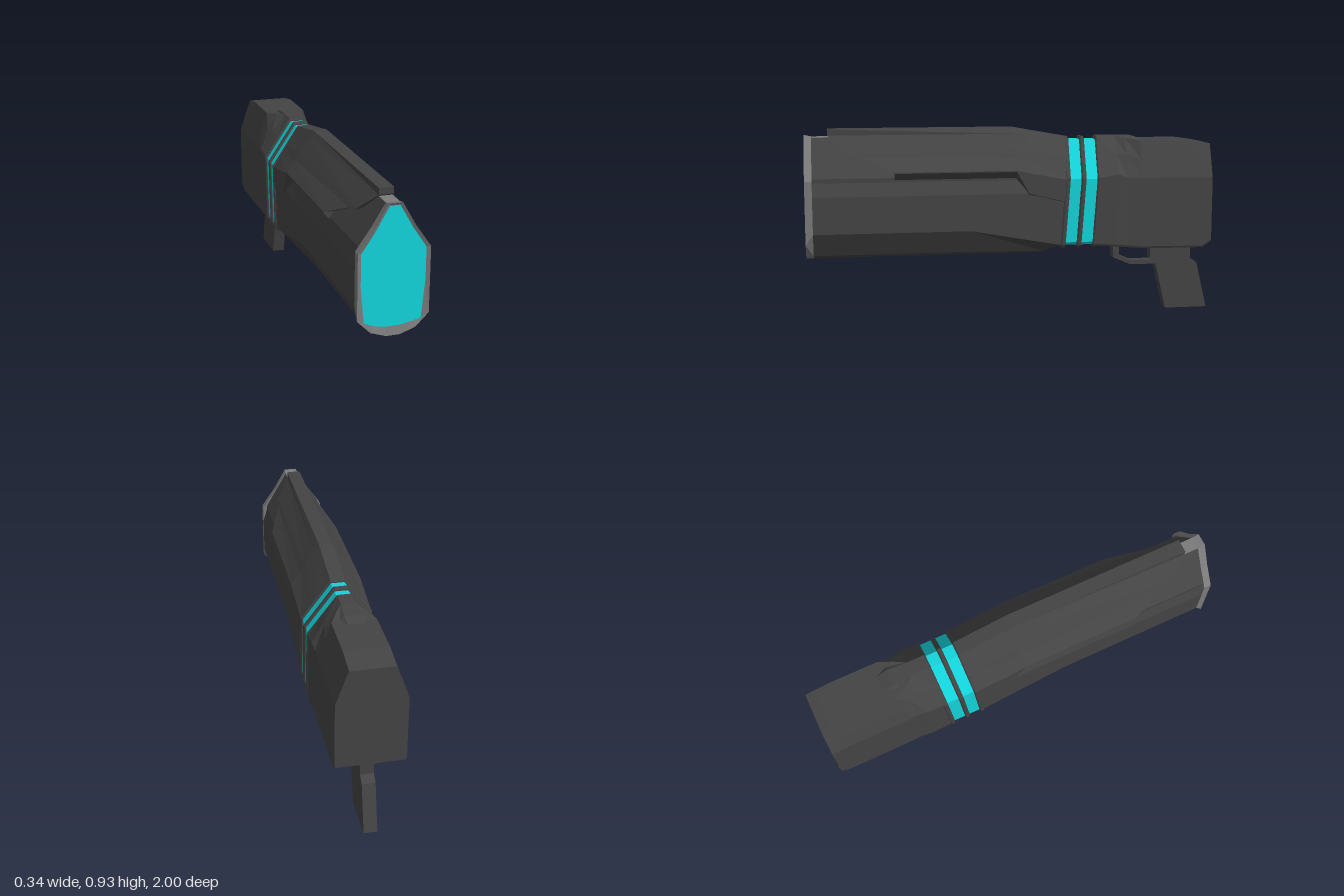
import * as THREE from 'three';

const paint = (color) => new THREE.MeshStandardMaterial({ color, flatShading: true });

// Faceted solid through mirrored cross-sections, listed front to back.
// Each section is a right-hand half outline, top to bottom, of [x, y, z].
function loft(sections, frontCap = true, backCap = true) {
  const pos = [];
  const quad = (a, b, c, d) => pos.push(...a, ...b, ...c, ...a, ...c, ...d);
  const flip = ([x, y, z]) => [-x, y, z];
  const rings = sections.map((s) => [...s, ...s.map(flip).reverse()]);
  for (let r = 0; r + 1 < rings.length; r++) {
    const A = rings[r], B = rings[r + 1], n = A.length;
    for (let i = 0; i < n; i++) {
      const j = (i + 1) % n;
      quad(A[i], A[j], B[j], B[i]);
    }
  }
  const cap = (s, front) => {
    for (let i = 0; i + 1 < s.length; i++) {
      const [p, q] = [s[i], s[i + 1]];
      if (front) quad(p, flip(p), flip(q), q);
      else quad(p, q, flip(q), flip(p));
    }
  };
  if (frontCap) cap(sections[0], true);
  if (backCap) cap(sections[sections.length - 1], false);
  const g = new THREE.BufferGeometry();
  g.setAttribute('position', new THREE.Float32BufferAttribute(pos, 3));
  g.computeVertexNormals();
  return g;
}

const at = (z, pts) => pts.map(([x, y]) => [x, y, z]);

// Side outline of [z, y] points, extruded across x and centred
function sidePlate(outline, width) {
  const shape = new THREE.Shape(outline.map(([z, y]) => new THREE.Vector2(z, y)));
  const g = new THREE.ExtrudeGeometry(shape, { depth: width, bevelEnabled: false });
  return g.translate(0, 0, -width / 2).rotateY(-Math.PI / 2);
}

export function createModel() {
  const model = new THREE.Group();
  const dark = paint(0x444444), grey = paint(0x7a7a7a), cyan = paint(0x12d4da);
  const add = (name, geometry, material) => {
    const mesh = new THREE.Mesh(geometry, material);
    mesh.name = name;
    model.add(mesh);
  };

  // Barrel core with side ledge and bevelled belly
  const core = (z, bevelY, midY, bottomY, x = 0.16) => at(z, [
    [0.03, 0.885], [0.09, 0.785], [0.14, 0.7], [0.14, 0.68],
    [x, 0.615], [x, bevelY], [0.1, midY], [0.03, bottomY],
  ]);
  add('barrelCore', loft([
    core(0.965, 0.44, 0.33, 0.306),
    core(0.22, 0.44, 0.33, 0.306),
    core(-0.14, 0.375, 0.325, 0.306, 0.162),
    core(-0.23, 0.36, 0.352, 0.35, 0.163).map(([x, y, z]) => [x, Math.min(y, 0.86), z]),
  ]), dark);

  // Muzzle rim and glowing front panel
  const rim = [[0.03, 0.895], [0.09, 0.79], [0.16, 0.69], [0.16, 0.54], [0.16, 0.39], [0.1, 0.33], [0.03, 0.306]];
  const rimBack = rim.map(([x, y], i) => [x, i === 4 ? 0.44 : i === 0 ? 0.888 : y]);
  const panel = at(0.992, [[0.022, 0.882], [0.083, 0.775], [0.143, 0.685], [0.143, 0.54], [0.127, 0.366], [0.08, 0.355], [0.035, 0.346]]);
  add('muzzleRim', loft([panel, at(1, rim), at(0.965, rimBack)], false), grey);
  add('muzzlePanel', loft([panel], true, false), cyan);
  add('topStrip', new THREE.BoxGeometry(0.06, 0.03, 0.12).translate(0, 0.873, 0.91), grey);

  // Upper shroud: swept-back front edge, dropping skirt at the rear
  add('upperShroud', loft([
    [[0.033, 0.925, 0.89], [0.033, 0.895, 0.89], [0.1, 0.81, 0.8], [0.108, 0.798, 0.74], [0.17, 0.728, 0.58], [0.17, 0.722, 0.58], [0.14, 0.69, 0.58]],
    [[0.033, 0.925, 0], [0.052, 0.895, 0], [0.1, 0.825, 0], [0.125, 0.785, 0], [0.17, 0.728, 0], [0.17, 0.722, 0], [0.14, 0.69, 0]],
    [[0.033, 0.914, -0.06], [0.052, 0.886, -0.06], [0.1, 0.815, -0.06], [0.125, 0.773, -0.06], [0.17, 0.714, -0.06], [0.17, 0.616, -0.06], [0.14, 0.595, -0.06]],
    [[0.033, 0.878, -0.262], [0.052, 0.85, -0.26], [0.1, 0.783, -0.255], [0.125, 0.745, -0.252], [0.168, 0.68, -0.248], [0.168, 0.573, -0.238], [0.14, 0.56, -0.238]],
  ]), dark);

  // Slanted glowing collar held by three ribs
  const collar = (z, s) => [[0.033, 0.878], [0.17, 0.685], [0.17, 0.36], [0.16, 0.346]]
    .map(([x, y]) => [x * s, 0.61 + (y - 0.61) * s, z - 0.07 * (y - 0.35)]);
  add('glowCollar', loft([collar(-0.225, 0.945), collar(-0.385, 0.945)]), cyan);
  for (const z of [-0.227, -0.305, -0.384]) {
    add('collarRib', loft([
      collar(z + 0.012, 0.965), collar(z + 0.006, 1),
      collar(z - 0.006, 1), collar(z - 0.012, 0.965),
    ]), dark);
  }

  // Rear housing: narrow ridge opening out to a broad flat top
  const housing = (z, topX, topY, midX, midY, x, shoulderY, bottomY) =>
    at(z, [[topX, topY], [midX, midY], [x, shoulderY], [x, bottomY + 0.01], [x - 0.005, bottomY]]);
  add('rearHousing', loft([
    housing(-0.4, 0.033, 0.88, 0.1, 0.785, 0.165, 0.685, 0.355)
      .map(([x, y, z]) => [x, y, z + 0.02 - 0.07 * (y - 0.35)]),
    housing(-0.5, 0.033, 0.88, 0.105, 0.795, 0.166, 0.7, 0.345),
    housing(-0.55, 0.065, 0.87, 0.115, 0.79, 0.158, 0.685, 0.34),
    housing(-0.62, 0.1, 0.86, 0.13, 0.77, 0.158, 0.68, 0.333),
    housing(-0.85, 0.1, 0.86, 0.13, 0.77, 0.158, 0.68, 0.33),
    housing(-0.93, 0.1, 0.848, 0.13, 0.763, 0.158, 0.678, 0.33),
    housing(-0.975, 0.1, 0.84, 0.13, 0.76, 0.158, 0.677, 0.36),
  ]), dark);
  // Faceted hump where the ridge meets the flat top
  add('ridgeHump', loft([
    at(-0.5, [[0.033, 0.88], [0.05, 0.84]]),
    at(-0.6, [[0.04, 0.877], [0.075, 0.85]]),
    at(-0.65, [[0.035, 0.86], [0.045, 0.85]]),
  ]), dark);

  // Grip with its mount, and trigger guard
  add('gripMount', loft([
    at(-0.69, [[0.06, 0.345], [0.035, 0.31]]),
    at(-0.92, [[0.06, 0.345], [0.035, 0.31]]),
  ]), dark);
  add('grip', sidePlate([
    [-0.7, 0.34], [-0.7, 0.26], [-0.73, 0.23], [-0.785, 0],
    [-1, 0], [-0.945, 0.23], [-0.91, 0.255], [-0.91, 0.34],
  ], 0.062), dark);
  add('triggerGuard', sidePlate([
    [-0.51, 0.36], [-0.51, 0.268], [-0.6, 0.23], [-0.735, 0.23],
    [-0.72, 0.25], [-0.605, 0.25], [-0.54, 0.277], [-0.54, 0.36],
  ], 0.06), dark);

  return model;
}
